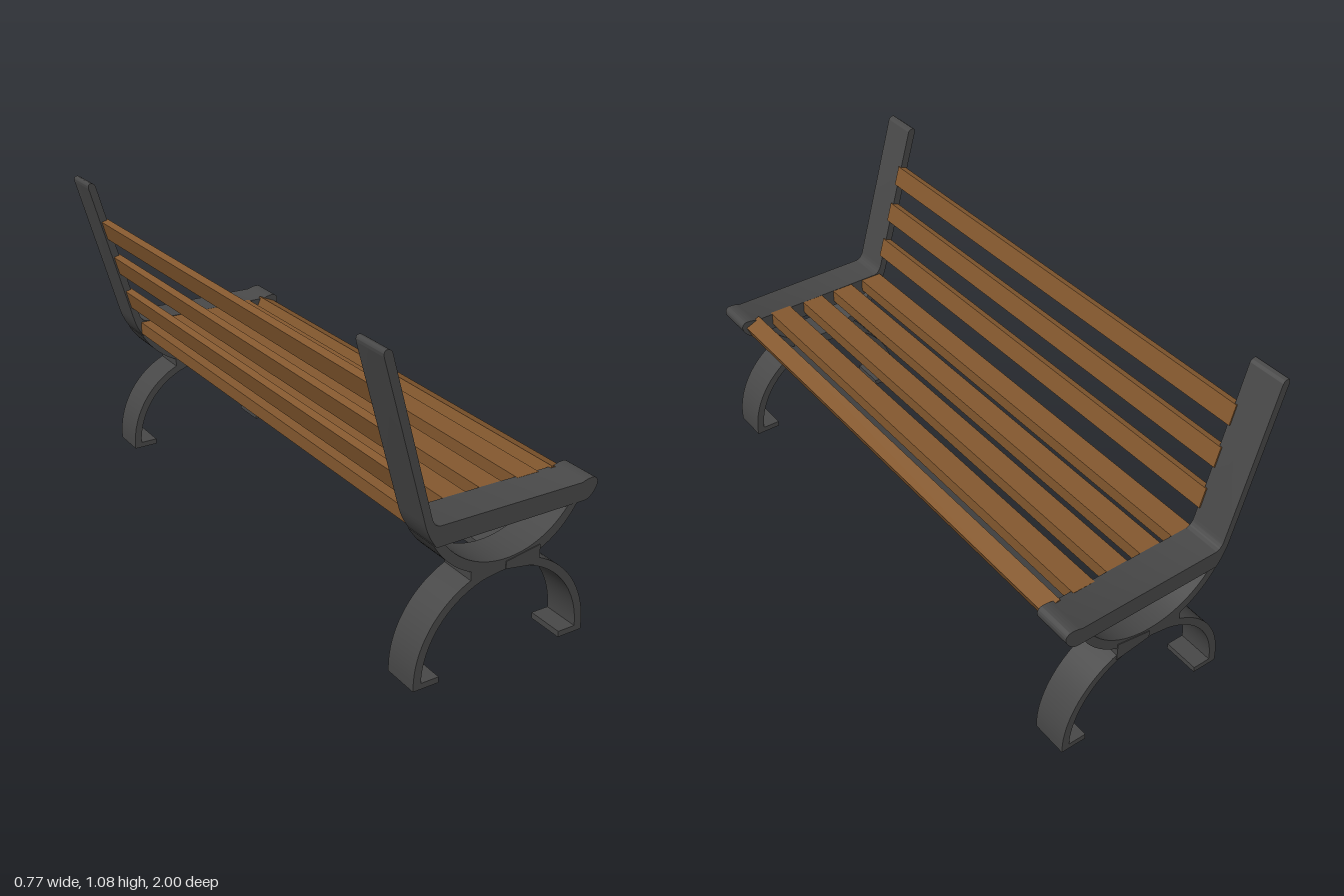
import * as THREE from 'three';
import { toCreasedNormals } from 'three/addons/utils/BufferGeometryUtils.js';

const metal = new THREE.MeshStandardMaterial({ color: 0x484848 });
const wood = new THREE.MeshStandardMaterial({ color: 0x85592f });

// Extrude a side profile along z, centred on z
function extrude(name, shape, depth, z = 0) {
  const geo = new THREE.ExtrudeGeometry(shape, { depth, bevelEnabled: false, curveSegments: 24 });
  geo.translate(0, 0, z - depth / 2);
  const mesh = new THREE.Mesh(toCreasedNormals(geo, 0.6), metal);
  mesh.name = name;
  return mesh;
}

function slat(name, w, h, x, y, angle) {
  const mesh = new THREE.Mesh(new THREE.BoxGeometry(w, h, 1.76), wood);
  mesh.name = name;
  mesh.position.set(x, y, 0);
  mesh.rotation.z = angle;
  return mesh;
}

// Backrest post running into the seat rail, with a rounded nose
function frameShape() {
  const s = new THREE.Shape();
  s.moveTo(-0.165, 0.455);
  s.lineTo(0.34, 0.455);
  s.quadraticCurveTo(0.362, 0.458, 0.38, 0.488);
  s.quadraticCurveTo(0.392, 0.515, 0.37, 0.524);
  s.quadraticCurveTo(0.35, 0.527, 0.325, 0.517);
  s.lineTo(-0.185, 0.521);
  s.quadraticCurveTo(-0.207, 0.522, -0.216, 0.55);
  s.lineTo(-0.361, 1.066);
  s.quadraticCurveTo(-0.365, 1.08, -0.38, 1.08);
  s.quadraticCurveTo(-0.392, 1.079, -0.388, 1.06);
  s.lineTo(-0.24, 0.54);
  s.quadraticCurveTo(-0.228, 0.495, -0.198, 0.455);
  s.closePath();
  return s;
}

// Lower arch with inward feet
function archShape() {
  const s = new THREE.Shape();
  s.moveTo(-0.26, 0);
  s.lineTo(-0.26, 0.02);
  s.absarc(0.055, 0.02, 0.315, Math.PI, 0, true);
  s.lineTo(0.37, 0);
  s.lineTo(0.28, 0);
  s.lineTo(0.28, 0.02);
  s.absarc(0.055, 0.02, 0.288, 0, Math.PI, false);
  s.lineTo(-0.17, 0.02);
  s.lineTo(-0.17, 0);
  s.closePath();
  return s;
}

// Upward-opening cradle under the seat
function cradleShape() {
  const s = new THREE.Shape();
  s.absarc(0.055, 0.61, 0.3, Math.PI + 0.52, Math.PI * 2 - 0.52, false);
  s.absarc(0.055, 0.625, 0.28, Math.PI * 2 - 0.63, Math.PI + 0.63, true);
  s.closePath();
  return s;
}

// Wedge filling the gap between arch and cradle
function wedgeShape(side) {
  const s = new THREE.Shape();
  const x = 0.055 + side * 0.125;
  s.moveTo(0.055, 0.31);
  s.lineTo(x, 0.29);
  s.lineTo(x, 0.355);
  s.lineTo(0.055, 0.335);
  s.closePath();
  return s;
}

export function createModel() {
  const bench = new THREE.Group();
  bench.name = 'bench';

  // End frames
  for (const [side, z] of [['front', 0.935], ['rear', -0.935]]) {
    const end = new THREE.Group();
    end.name = side + 'EndFrame';
    end.add(
      extrude('seatAndBackFrame', frameShape(), 0.13, z),
      extrude('legArch', archShape(), 0.125, z),
      extrude('seatCradle', cradleShape(), 0.125, z),
      extrude('jointWedge', wedgeShape(-1), 0.125, z)
    );
    bench.add(end);
  }

  // Long stretcher between the ends
  bench.add(extrude('stretcher', wedgeShape(1), 2));

  // Seat slats, the outermost tipped down to follow the nose
  for (const x of [-0.17, -0.043, 0.087, 0.22]) {
    bench.add(slat('seatSlat', 0.08, 0.045, x, 0.496, 0));
  }
  bench.add(slat('edgeSlat', 0.062, 0.045, 0.33, 0.491, -0.4));

  // Backrest slats along the leaning posts
  for (const y of [0.622, 0.762, 0.902]) {
    bench.add(slat('backSlat', 0.026, 0.07, -0.222 - (y - 0.545) * 0.284, y, 0.277));
  }
  return bench;
}
